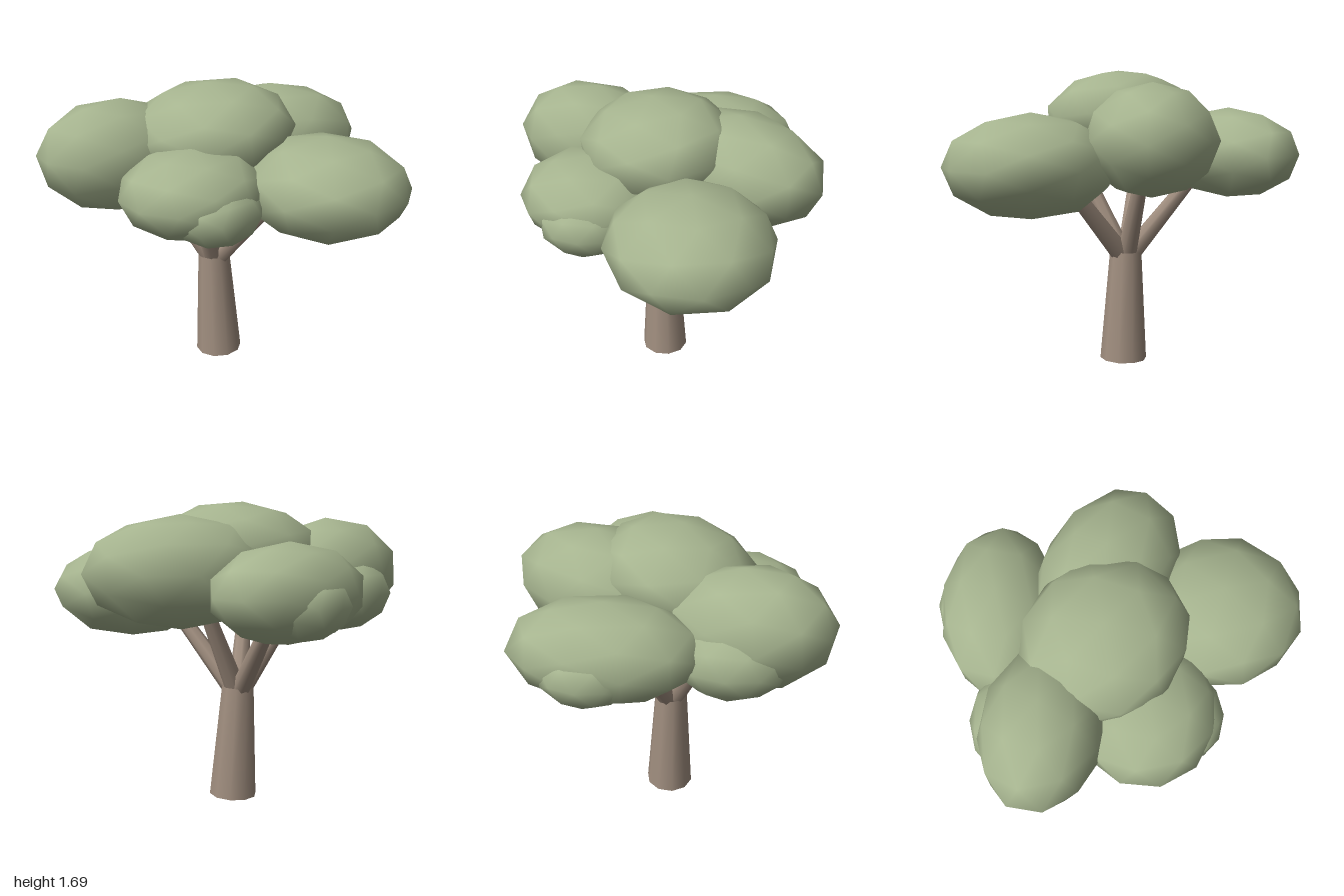
import * as THREE from 'three';

export function createModel() {
  const tree = new THREE.Group();
  tree.name = 'tree';
  const bark = new THREE.MeshStandardMaterial({ color: 0xa08e7f, side: THREE.DoubleSide });
  bark.name = 'bark';
  const leaf = new THREE.MeshStandardMaterial({ color: 0xa6b48f });
  leaf.name = 'leaf';

  // Tapered open-ended limb running from one point to another
  const up = new THREE.Vector3(0, 1, 0);
  function limb(name, from, to, r0, r1, sides) {
    const a = new THREE.Vector3(...from), b = new THREE.Vector3(...to);
    const axis = b.clone().sub(a);
    const mesh = new THREE.Mesh(new THREE.CylinderGeometry(r1, r0, axis.length(), sides, 1, true), bark);
    mesh.position.copy(a).add(b).multiplyScalar(0.5);
    mesh.quaternion.setFromUnitVectors(up, axis.normalize());
    mesh.name = name;
    tree.add(mesh);
  }

  limb('trunk', [-0.085, 0.01, -0.028], [-0.107, 0.65, -0.01], 0.137, 0.093, 10);

  // Five branches fan out from the trunk top into the canopy
  const fork = [-0.107, 0.6, -0.01];
  [
    ['leftBranch', [0.35, 1.14, -0.13]],
    ['leftFrontBranch', [0.05, 1.1, 0.23]],
    ['backBranch', [-0.09, 1.14, -0.27]],
    ['rightFrontBranch', [-0.31, 1.14, 0.27]],
    ['rightBackBranch', [-0.51, 1.14, -0.16]],
  ].forEach(([name, end]) => limb(name, fork, end, 0.06, 0.038, 8));

  // Foliage clumps: faceted outline, smooth shading
  const pointed = new THREE.IcosahedronGeometry(1.03, 1);
  const blunt = pointed.clone().rotateY(Math.PI / 2 + 0.28);
  [
    // name, geometry, centre, radii, tilt about x, yaw
    ['crownClump', pointed, [-0.085, 1.42, 0.02], [0.455, 0.27, 0.415], 0.12, 0.785],
    ['leftClump', pointed, [0.54, 1.19, -0.24], [0.455, 0.27, 0.43], 0, 0.25],
    ['backClump', pointed, [-0.07, 1.32, -0.42], [0.35, 0.295, 0.51], 0, -0.5],
    ['rightFrontClump', blunt, [-0.4, 1.29, 0.44], [0.32, 0.31, 0.45], -0.1, -0.18],
    ['leftFrontClump', blunt, [0.13, 1.19, 0.335], [0.37, 0.235, 0.4], 0, -0.1],
    ['rightBackClump', blunt, [-0.65, 1.23, -0.235], [0.32, 0.25, 0.49], 0, 0.05],
    ['leftFrontTuft', pointed, [0.325, 1.13, 0.34], [0.215, 0.17, 0.25], 0, 0],
    ['rightFrontTuft', pointed, [-0.54, 1.19, 0.38], [0.25, 0.205, 0.3], 0, 0],
    ['rightBackTuft', pointed, [-0.78, 1.18, -0.29], [0.22, 0.17, 0.25], 0, 0],
  ].forEach(([name, geometry, centre, radii, tilt, yaw]) => {
    const mesh = new THREE.Mesh(geometry, leaf);
    mesh.name = name;
    mesh.position.set(...centre);
    mesh.scale.set(...radii);
    mesh.rotation.set(tilt, yaw, 0);
    tree.add(mesh);
  });

  return tree;
}
